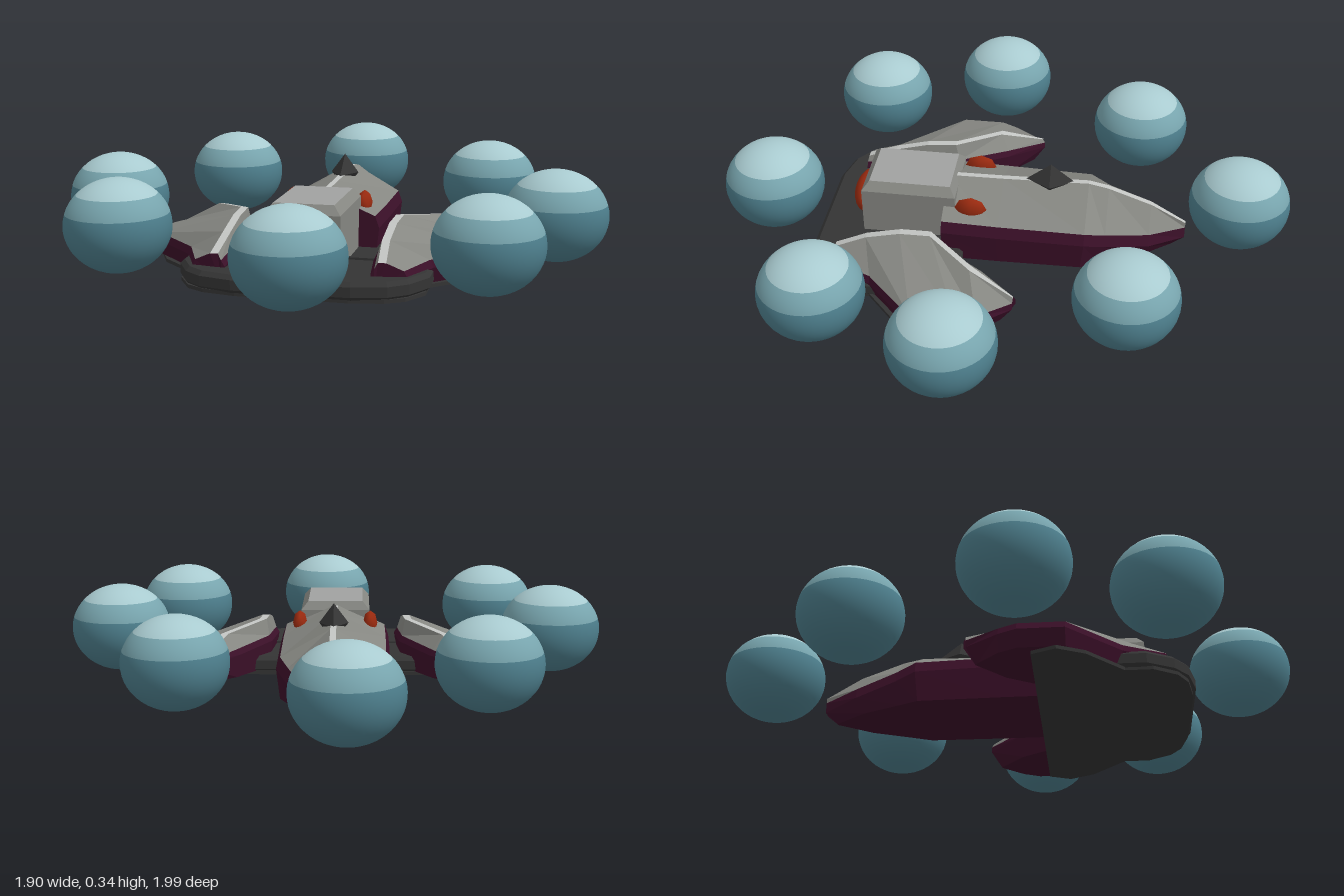
import * as THREE from 'three';

const mat = (name, color) => {
  const m = new THREE.MeshStandardMaterial({ color });
  m.name = name;
  return m;
};
const M = {
  hull: mat('hullGrey', 0x868782),
  box: mat('lightGrey', 0xa0a1a0),
  stripe: mat('paleStripe', 0xc2c4c2),
  purple: mat('darkPurple', 0x3c1029),
  red: mat('red', 0x9c2b10),
  dark: mat('charcoal', 0x343434),
  orbTop: mat('paleTeal', 0xa9cbd0),
  orbMid: mat('midTeal', 0x78a5ae),
  orbLow: mat('deepTeal', 0x4d7e8c),
};

// Skins closed rings of points; strip k takes mats[k], the end caps take the last entry.
function loft(name, rings, mats, side = 1) {
  const pos = [], n = rings[0].length, geo = new THREE.BufferGeometry();
  const tri = (a, b, c) => {
    for (const p of side > 0 ? [a, b, c] : [a, c, b]) pos.push(p[0] * side, p[1], p[2]);
  };
  const used = [...new Set(mats)];
  let start = 0;
  const close = (m) => {
    geo.addGroup(start, pos.length / 3 - start, used.indexOf(m));
    start = pos.length / 3;
  };
  for (let k = 0; k < n; k++) {
    const j = (k + 1) % n;
    for (let i = 0; i < rings.length - 1; i++) {
      const R = rings[i], S = rings[i + 1];
      tri(R[k], R[j], S[j]);
      tri(R[k], S[j], S[k]);
    }
    close(mats[k]);
  }
  const A = rings[0], B = rings[rings.length - 1];
  for (let k = 1; k < n - 1; k++) {
    tri(A[0], A[k + 1], A[k]);
    tri(B[0], B[k], B[k + 1]);
  }
  close(mats[n]);
  geo.setAttribute('position', new THREE.Float32BufferAttribute(pos, 3));
  geo.computeVertexNormals();
  const mesh = new THREE.Mesh(geo, used);
  mesh.name = name;
  return mesh;
}

// Flat plate from half an outline of (x, z) points, mirrored across x = 0.
function plate(name, half, y, height, bevel) {
  const pts = [...half, ...half.map(([x, z]) => [-x, z]).reverse()];
  const shape = new THREE.Shape(pts.map(([x, z]) => new THREE.Vector2(x, -z)));
  const geo = new THREE.ExtrudeGeometry(shape, {
    depth: height - 2 * bevel, bevelEnabled: bevel > 0,
    bevelSize: bevel, bevelThickness: bevel, bevelOffset: -bevel, bevelSegments: 1,
  });
  geo.rotateX(-Math.PI / 2).translate(0, y + bevel, 0);
  const mesh = new THREE.Mesh(geo, M.dark);
  mesh.name = name;
  return mesh;
}

function solid(name, geo, material, p, s = [1, 1, 1]) {
  const mesh = new THREE.Mesh(geo, material);
  mesh.name = name;
  mesh.position.set(...p);
  mesh.scale.set(...s);
  return mesh;
}

// Squashed sphere in three colour bands.
function orb(x, z) {
  const g = new THREE.Group();
  g.name = 'orb';
  const bands = [[0, 0.84, M.orbTop], [0.84, 1.29, M.orbMid], [1.29, Math.PI, M.orbLow]];
  for (const [a, b, m] of bands) {
    const rows = Math.ceil((b - a) * 8);
    g.add(solid('orbBand', new THREE.SphereGeometry(1, 40, rows, 0, Math.PI * 2, a, b - a), m, [0, 0, 0]));
  }
  g.position.set(x, 0.185, z);
  g.scale.set(0.175, 0.155, 0.175);
  return g;
}

export function createModel() {
  const model = new THREE.Group();
  model.name = 'hoverCraft';
  const P = M.purple, H = M.hull, S = M.stripe;

  // Base plate and raised deck
  model.add(plate('basePlate', [[0.54, 0.12], [0.575, 0.2], [0.53, 0.29], [0.4, 0.41], [0.4, 0.5],
    [0.35, 0.58], [0.29, 0.615], [0.18, 0.635]], 0, 0.012, 0));
  model.add(plate('deck', [[0.4, 0.12], [0.41, 0.4], [0.41, 0.48], [0.36, 0.57], [0.3, 0.617],
    [0.19, 0.645]], 0.006, 0.061, 0.014));
  model.add(solid('deckSeam', new THREE.BoxGeometry(0.46, 0.009, 0.018), M.dark, [0, 0.07, 0.36]));

  // Central fuselage: z, half width, rim height, ridge height, bottom z
  const body = [
    [0.195, 0.195, 0.175, 0.25, 0.195], [0, 0.195, 0.17, 0.252, 0], [-0.3, 0.19, 0.165, 0.26, -0.29],
    [-0.37, 0.16, 0.145, 0.245, -0.355], [-0.52, 0.1, 0.115, 0.19, -0.49], [-0.645, 0.012, 0.1, 0.118, -0.6],
  ].map(([z, w, yr, yt, zb]) => {
    const b = Math.max(w - 0.012, 0.006), r = Math.max(w - 0.014, 0.008), t = Math.min(0.01, w * 0.5);
    const right = [[t, yt, z], [r, yr, z], [w, yr - 0.04, z], [b, 0.02, zb]];
    return [...right.map(([x, y, q]) => [-x, y, q]).reverse(), ...right];
  });
  model.add(loft('fuselage', body, [P, P, H, S, H, P, P, P, P]));
  model.add(solid('ridgeSpike', new THREE.OctahedronGeometry(1), M.dark, [0, 0.255, -0.165], [0.05, 0.067, 0.085]));

  // Side wings: inner x z, ridge x z y, outer x z, rim heights inner and outer
  const wing = [
    [0.235, 0.555, 0.258, 0.55, 0.11, 0.35, 0.54, 0.09, 0.085],
    [0.225, 0.45, 0.25, 0.44, 0.155, 0.41, 0.405, 0.11, 0.09],
    [0.225, 0.34, 0.252, 0.32, 0.185, 0.59, 0.23, 0.125, 0.09],
    [0.235, 0.2, 0.257, 0.215, 0.19, 0.59, 0.08, 0.13, 0.09],
    [0.34, 0.03, 0.385, 0.06, 0.165, 0.56, 0.02, 0.115, 0.09],
    [0.452, -0.1, 0.456, -0.092, 0.108, 0.474, -0.09, 0.095, 0.092],
  ].map(([ix, iz, rx, rz, ry, ox, oz, iy, oy], i) => {
    const e = i === 5 ? 0.002 : 0.012, w = i === 5 ? 0.006 : 0.026;
    const zb = i === 5 ? 0.04 : 0;
    return [
      [ix + e, 0.012, iz + zb], [ix, iy - 0.02, iz], [ix + e, iy, iz], [rx, ry, rz], [rx + w, ry, rz],
      [ox - e, oy, oz], [ox, oy - 0.025, oz], [ox - 2 * e, 0.012, oz + zb],
    ];
  });
  for (const side of [1, -1]) {
    model.add(loft(side > 0 ? 'leftWing' : 'rightWing', wing, [P, P, H, S, H, P, P, P, P], side));
    model.add(solid('sideGem', new THREE.OctahedronGeometry(1, 1), M.red, [side * 0.127, 0.2, 0.1], [0.026, 0.045, 0.056]));
  }

  // Cabin block with a bevelled top and a front lens
  const rings = [[0.05, 0.125, 0.155, 0.485], [0.235, 0.125, 0.155, 0.485], [0.265, 0.1, 0.175, 0.46]]
    .map(([y, w, back, front]) => [[w, y, front], [w, y, back], [-w, y, back], [-w, y, front]]);
  model.add(loft('cabin', rings, [M.hull, M.hull, M.hull, M.hull, M.box]));
  model.add(solid('frontLens', new THREE.SphereGeometry(1, 24, 16), M.red, [0, 0.15, 0.485], [0.105, 0.062, 0.052]));

  // Ring of floating orbs
  for (const [x, z] of [[-0.05, -0.825], [0.5, -0.46], [0.775, 0.09], [0.595, 0.545],
    [0.045, 0.82], [-0.595, 0.545], [-0.775, 0.09], [-0.5, -0.46]]) model.add(orb(x, z));

  return model;
}
